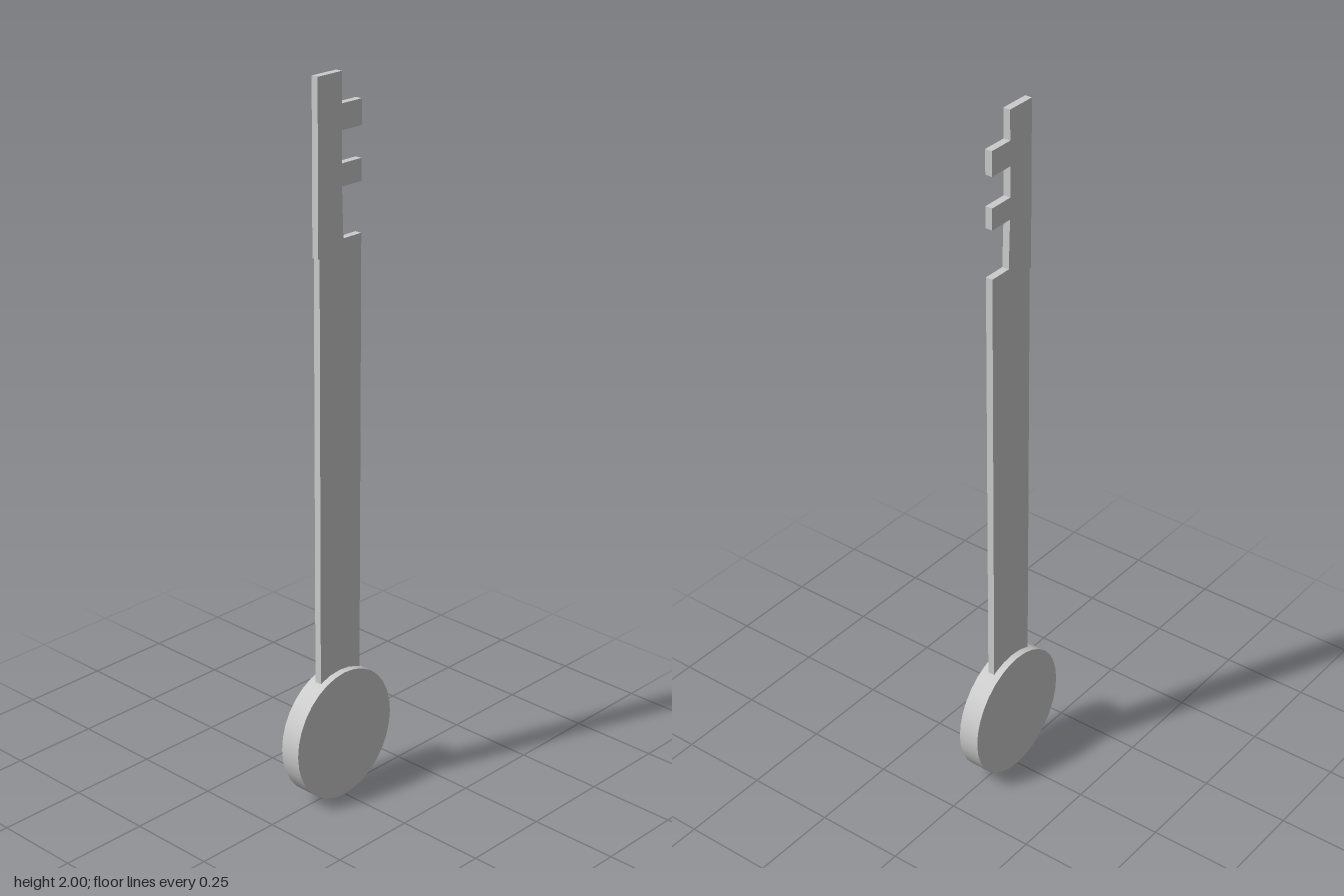
import * as THREE from 'three';

export function createModel() {
  const group = new THREE.Group();
  const material = new THREE.MeshStandardMaterial({ color: 0xcccccc });

  // Round, slightly oval grip lying in the YZ plane
  const gripGeometry = new THREE.CylinderGeometry(0.18, 0.18, 0.06, 32);
  gripGeometry.rotateZ(Math.PI / 2);
  gripGeometry.scale(1, 0.187 / 0.18, 1);
  gripGeometry.translate(0, 0.187, 0);
  const grip = new THREE.Mesh(gripGeometry, material);
  grip.name = 'grip';
  group.add(grip);

  // Flat shaft with two teeth, outlined as [z, y]
  const outline = [
    [0.072, 0.25], [-0.078, 0.25], [-0.078, 1.577], [-0.013, 1.577],
    [-0.008, 1.711], [-0.078, 1.711], [-0.078, 1.77], [-0.007, 1.77],
    [-0.007, 1.853], [-0.078, 1.853], [-0.078, 1.92], [-0.007, 1.92],
    [-0.008, 2], [0.077, 2], [0.077, 1.542], [0.072, 1.542],
  ];
  const shape = new THREE.Shape(outline.map(([z, y]) => new THREE.Vector2(-z, y)));
  const bladeGeometry = new THREE.ExtrudeGeometry(shape, { depth: 0.02, bevelEnabled: false });
  bladeGeometry.translate(0, 0, -0.01);
  bladeGeometry.rotateY(Math.PI / 2);
  const blade = new THREE.Mesh(bladeGeometry, material);
  blade.name = 'toothedShaft';
  group.add(blade);

  return group;
}
